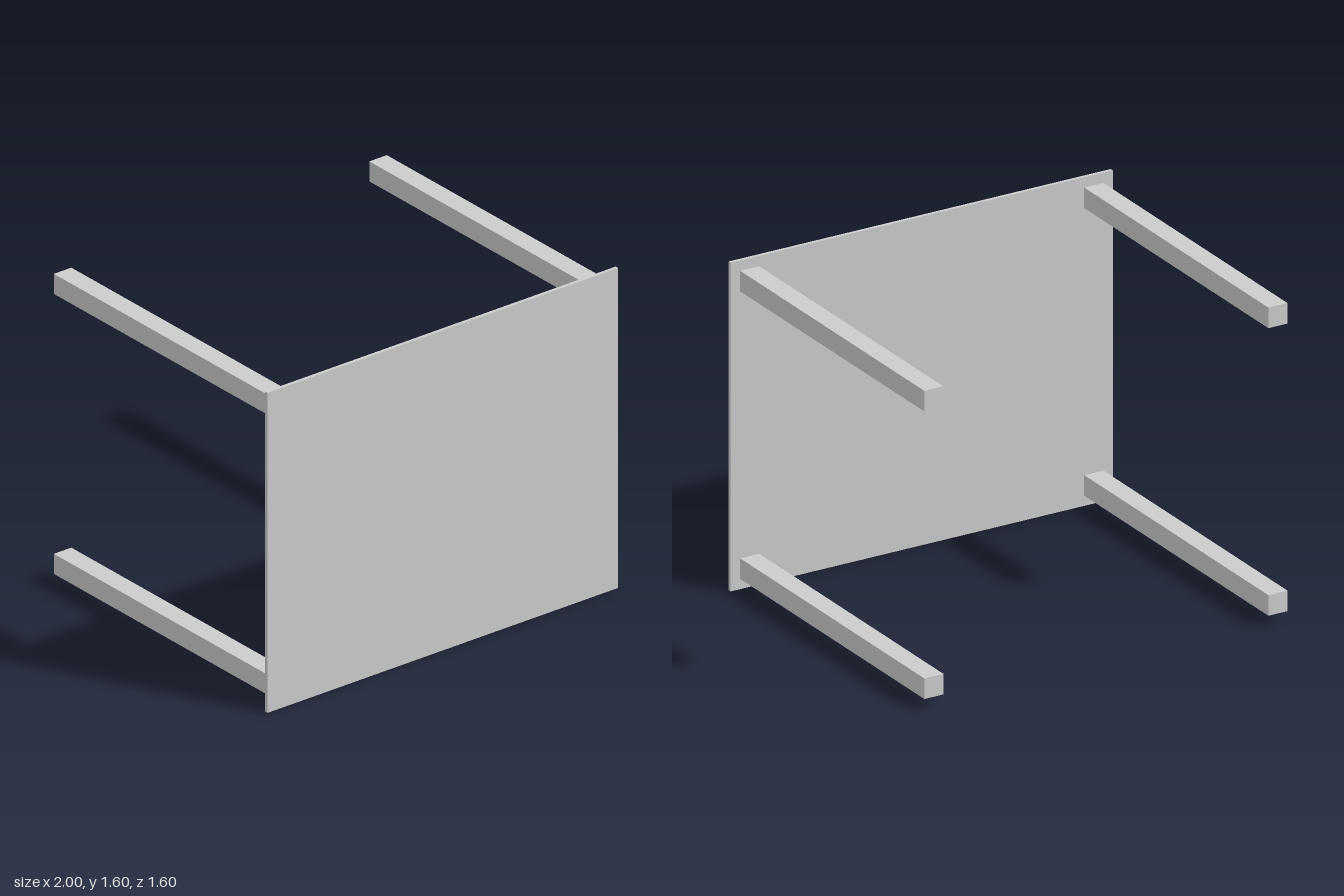
import * as THREE from 'three';

// A four-legged table lying on its side, its top facing +z.
export function createModel() {
  const model = new THREE.Group();
  model.name = 'table';
  const material = new THREE.MeshStandardMaterial({ color: 0xcccccc });

  const width = 2, height = 1.6, depth = 1.6;
  const topThickness = 0.018, legSize = 0.1, legInset = 0.1;
  const legLength = depth - topThickness;

  // Thin table top
  const top = new THREE.Mesh(new THREE.BoxGeometry(width, height, topThickness), material);
  top.name = 'tableTop';
  top.position.set(0, height / 2, depth / 2 - topThickness / 2);
  model.add(top);

  // Square legs, one near each corner, running back from the top
  const legGeometry = new THREE.BoxGeometry(legSize, legSize, legLength);
  for (const [xName, sx] of [['Left', 1], ['Right', -1]]) {
    for (const [yName, sy] of [['upper', 1], ['lower', -1]]) {
      const leg = new THREE.Mesh(legGeometry, material);
      leg.name = `${yName}${xName}Leg`;
      leg.position.set(
        sx * (width / 2 - legInset),
        height / 2 + sy * (height / 2 - legInset),
        -topThickness / 2
      );
      model.add(leg);
    }
  }
  return model;
}
